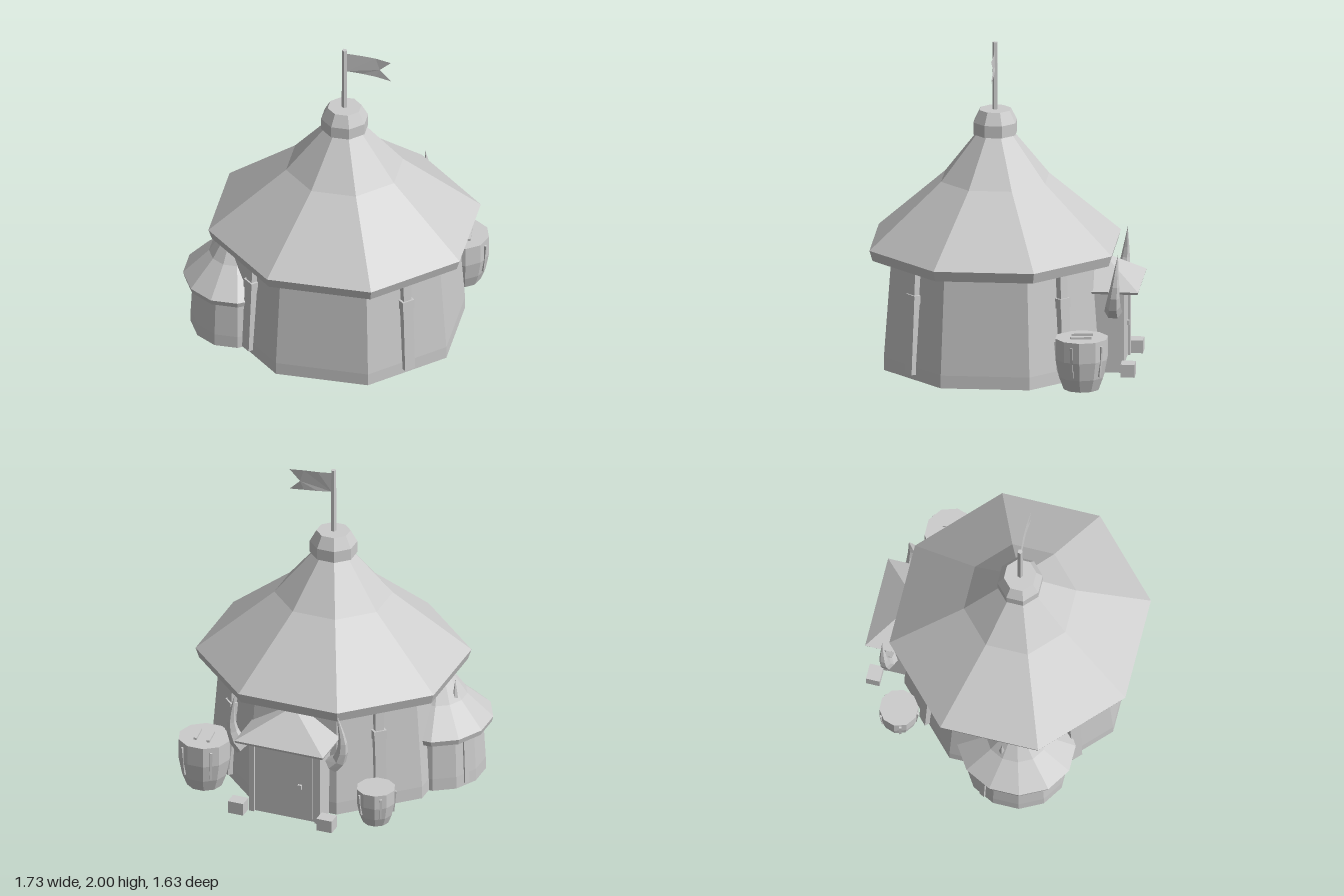
import * as THREE from 'three';

export function createModel() {
  const model = new THREE.Group();
  const grey = new THREE.MeshStandardMaterial({ color: 0xcccccc, flatShading: true, side: THREE.DoubleSide });
  grey.name = 'plain grey';

  function add(name, geometry, parent = model, x = 0, y = 0, z = 0) {
    const mesh = new THREE.Mesh(geometry, grey);
    mesh.name = name;
    mesh.position.set(x, y, z);
    parent.add(mesh);
    return mesh;
  }
  const box = (w, h, d) => new THREE.BoxGeometry(w, h, d);

  // Faceted shell from [apothem, y] pairs, bottom to top, with a flat facing +z
  function faceted(profile, sides) {
    const k = 1 / Math.cos(Math.PI / sides);
    const pts = profile.map(([r, y]) => new THREE.Vector2(r * k, y));
    return new THREE.LatheGeometry(pts, sides, Math.PI / sides);
  }

  function group(name, x, z, parent = model) {
    const g = new THREE.Group();
    g.name = name;
    g.position.set(x, 0, z);
    parent.add(g);
    return g;
  }

  // Main tent: an open-bottomed shell, slightly narrower front to back
  const tent = group('tent', 0.084, 0.078);
  const tentParts = {
    wall: [[0.69, 0], [0.69, 0.08], [0.645, 0.69]],
    roof: [[0.645, 0.69], [0.76, 0.69], [0.78, 0.755], [0.335, 1.15], [0.115, 1.43]],
    roofCap: [[0.115, 1.43], [0.135, 1.43], [0.135, 1.505], [0.097, 1.58], [0, 1.58]],
  };
  for (const [name, profile] of Object.entries(tentParts)) {
    add(name, faceted(profile, 8), tent).scale.z = 0.946;
  }

  // Wall posts in the middle of the diagonal sides
  for (const sx of [-1, 1]) for (const sz of [-1, 1]) {
    const post = group('wallPost', sx * 0.492, sz * 0.465, tent);
    post.rotation.y = Math.atan2(sx * 0.727, sz * 0.772);
    const lean = new THREE.Group();
    lean.rotation.x = -0.045;
    post.add(lean);
    add('upperPost', box(0.055, 0.66, 0.05), lean, 0, 0.365, 0);
    add('lowerPost', box(0.07, 0.46, 0.06), lean, 0, 0.265, 0);
    add('postCollar', box(0.082, 0.06, 0.07), lean, 0, 0.5, 0);
  }

  // Flagpole and swallow-tailed flag
  add('flagpole', new THREE.CylinderGeometry(0.016, 0.018, 0.44, 5), tent, 0, 1.78, 0);
  const flagShape = new THREE.Shape([
    [0, 1.845], [0.09, 1.835], [0.18, 1.825], [0.275, 1.81], [0.205, 1.88],
    [0.275, 1.945], [0.18, 1.96], [0.09, 1.967], [0, 1.975],
  ].map(([x, y]) => new THREE.Vector2(x, y)));
  const flag = new THREE.ShapeGeometry(flagShape);
  const fp = flag.attributes.position;
  for (let i = 0; i < fp.count; i++) {
    fp.setZ(i, -0.008 * Math.sin(fp.getX(i) * 11));
  }
  flag.computeVertexNormals();
  add('flag', flag, tent, 0.012, 0, 0);

  // Small side tent
  const annex = group('sideTent', -0.558, 0.215);
  annex.scale.x = 0.89;
  add('sideTentWall', faceted([[0.3, 0], [0.3, 0.08], [0.285, 0.33]], 12), annex);
  add('sideTentRoof', faceted([[0.285, 0.33], [0.34, 0.33], [0.35, 0.365], [0.18, 0.52], [0.06, 0.69], [0, 0.72]], 12), annex);
  for (const a of [-120, 120]) {
    const turn = group('sideTentPost', 0, 0, annex);
    turn.rotation.y = THREE.MathUtils.degToRad(a);
    add('post', box(0.035, 0.31, 0.025), turn, 0, 0.175, 0.295).rotation.x = -0.05;
  }
  add('roofSpike', new THREE.ConeGeometry(0.022, 0.13, 4), annex, -0.14, 0.595, -0.06);

  // Rear porch with a pyramid roof
  const porch = group('porch', 0.08, 0);
  add('porchBody', box(0.46, 0.515, 0.3), porch, 0, 0.2575, -0.56);
  add('porchRoof', faceted([[0, 0.505], [0.285, 0.505], [0.29, 0.52], [0, 0.695]], 4), porch, 0, 0, -0.575).scale.z = 0.84;
  add('door', box(0.36, 0.44, 0.008), porch, 0, 0.235, -0.712);
  add('doorKnob', box(0.025, 0.03, 0.025), porch, -0.1, 0.23, -0.718);

  // Tapered horn swept along a curve
  function hornGeometry(side) {
    const curve = new THREE.CatmullRomCurve3([
      [0.29, 0.4, -0.668], [0.34, 0.45, -0.67], [0.365, 0.56, -0.682], [0.335, 0.77, -0.7],
    ].map(([x, y, z]) => new THREE.Vector3(side * x, y, z)));
    const steps = 6, sides = 6;
    const geo = new THREE.TubeGeometry(curve, steps, 0.055, sides, false);
    const p = geo.attributes.position, v = new THREE.Vector3();
    for (let i = 0; i < p.count; i++) {
      const t = Math.floor(i / (sides + 1)) / steps;
      const c = curve.getPointAt(t);
      v.fromBufferAttribute(p, i).sub(c).multiplyScalar(1 - t).add(c);
      p.setXYZ(i, v.x, v.y, v.z);
    }
    geo.computeVertexNormals();
    return geo;
  }
  for (const side of [-1, 1]) {
    add('porchHorn', hornGeometry(side), porch);
    add('doorstepBlock', box(0.1, 0.08, 0.085), porch, side * 0.29, 0.04, -0.758);
    add('doorPost', box(0.035, 0.5, 0.03), porch, side * 0.215, 0.25, -0.712);
  }

  // Barrels with side strips
  function barrel(name, x, z, r, h, sides) {
    const g = group(name, x, z);
    add('barrelBody', faceted([[0, 0], [0.66 * r, 0], [0.84 * r, 0.25 * h], [0.97 * r, 0.6 * h], [0.97 * r, h], [0, h]], sides), g);
    for (let i = 0; i < 5; i++) {
      const turn = group('barrelStrip', 0, 0, g);
      turn.rotation.y = (Math.round(i * sides / 5) * 2 * Math.PI) / sides;
      add('strip', box(0.014, 0.6 * h, 0.02), turn, 0, 0.6 * h, 0.93 * r).rotation.x = 0.1;
    }
    return g;
  }
  const large = barrel('largeBarrel', 0.692, -0.503, 0.16, 0.32, 10);
  for (const x of [-0.04, 0.045]) {
    add('lidSlat', box(0.02, 0.016, 0.13), large, x, 0.326, 0).rotation.y = 0.12;
  }
  barrel('smallBarrel', -0.448, -0.548, 0.117, 0.23, 10);

  return model;
}
